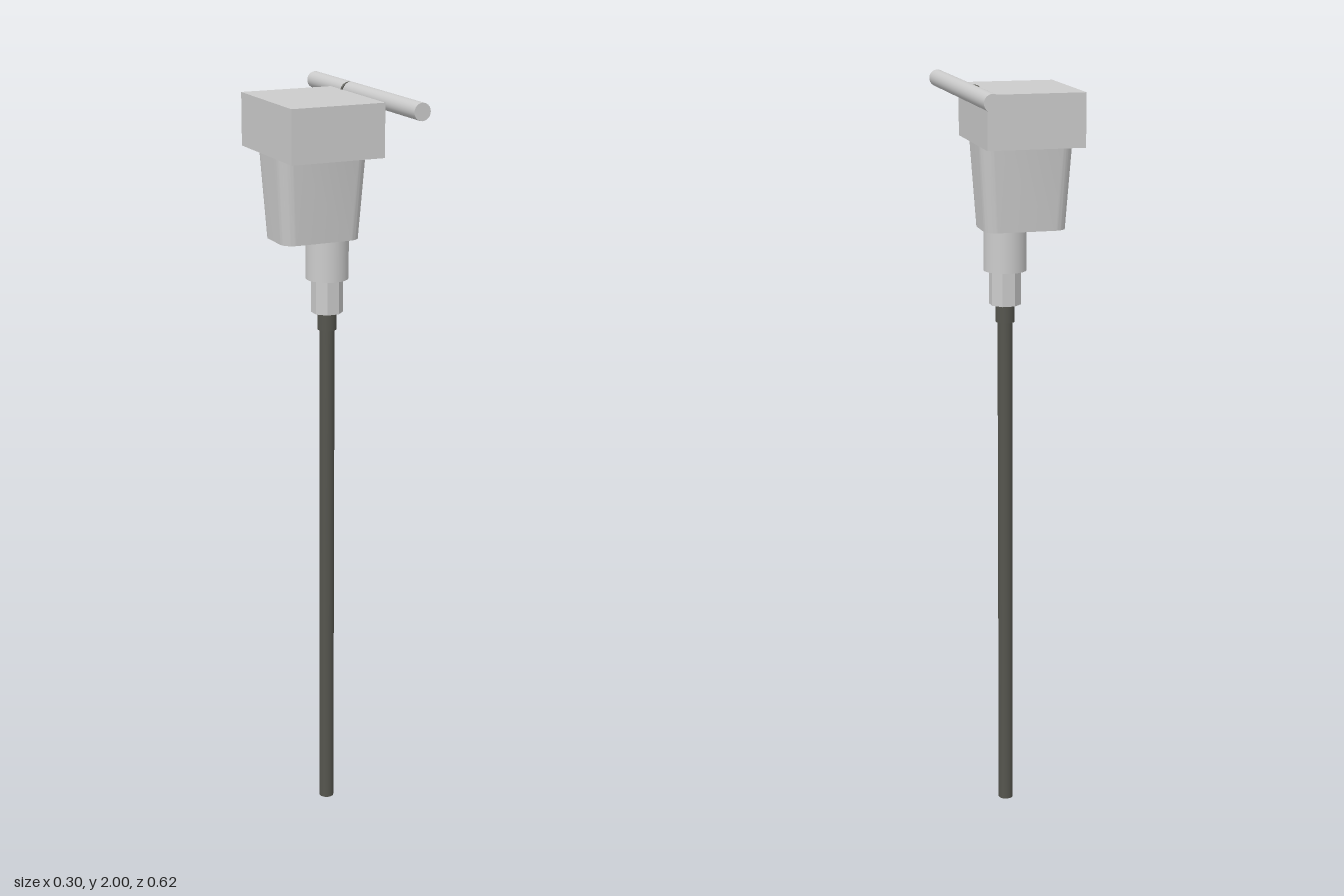
import * as THREE from 'three';
import { toCreasedNormals } from 'three/addons/utils/BufferGeometryUtils.js';

const grey = new THREE.MeshStandardMaterial({ color: 0xcccccc });
const dark = new THREE.MeshStandardMaterial({ color: 0x55554e });
const facetGrey = new THREE.MeshStandardMaterial({ color: 0xcccccc, flatShading: true });
const AXIS = 0.018; // x of the rod and collars

function add(group, name, geometry, material, x, y, z) {
  const mesh = new THREE.Mesh(geometry, material);
  mesh.name = name;
  mesh.position.set(x, y, z);
  group.add(mesh);
}

// Upright cylinder on the rod axis between two heights
function column(group, name, radius, y0, y1, sides, material) {
  const g = new THREE.CylinderGeometry(radius, radius, y1 - y0, sides);
  g.rotateY(Math.PI / sides);
  add(group, name, g, material, AXIS, (y0 + y1) / 2, 0);
}

// Rounded rectangle, centred
function roundedRect(w, d, r) {
  const s = new THREE.Shape();
  const x = w / 2 - r, y = d / 2 - r;
  s.absarc(x, y, r, 0, Math.PI / 2);
  s.absarc(-x, y, r, Math.PI / 2, Math.PI);
  s.absarc(-x, -y, r, Math.PI, Math.PI * 1.5);
  s.absarc(x, -y, r, Math.PI * 1.5, Math.PI * 2);
  return s;
}

// Rounded block that narrows towards its foot
function taperedBlock(w, d, h, r, footX, footZ) {
  const g = new THREE.ExtrudeGeometry(roundedRect(w, d, r), {
    depth: h, steps: 1, bevelEnabled: false, curveSegments: 8,
  });
  g.rotateX(-Math.PI / 2);
  const p = g.attributes.position;
  for (let i = 0; i < p.count; i++) {
    const t = THREE.MathUtils.clamp(p.getY(i) / h, 0, 1);
    p.setX(i, p.getX(i) * THREE.MathUtils.lerp(footX, 1, t));
    p.setZ(i, p.getZ(i) * THREE.MathUtils.lerp(footZ, 1, t));
  }
  return toCreasedNormals(g, 0.7);
}

export function createModel() {
  const model = new THREE.Group();
  model.name = 'probe';

  // Head
  add(model, 'headBox', new THREE.BoxGeometry(0.252, 0.136, 0.316), grey, -0.024, 1.913, 0);
  add(model, 'taperedBody', taperedBlock(0.243, 0.176, 0.222, 0.04, 0.88, 0.8), grey, -0.023, 1.624, 0);

  // Stepped collars
  column(model, 'upperCollar', 0.056, 1.515, 1.628, 32, grey);
  column(model, 'lowerCollar', 0.042, 1.425, 1.516, 8, facetGrey);
  column(model, 'rodSleeve', 0.025, 1.378, 1.426, 24, dark);

  // Long rod
  column(model, 'rod', 0.02, 0, 1.38, 24, dark);

  // Cross bar beside the head, with its thin retaining ring
  const bar = new THREE.CylinderGeometry(0.022, 0.022, 0.62, 24);
  bar.rotateX(Math.PI / 2);
  add(model, 'crossBar', bar, grey, 0.125, 1.978, 0);
  add(model, 'barRing', new THREE.TorusGeometry(0.02, 0.003, 8, 28), dark, 0.12, 1.977, -0.09);

  return model;
}
